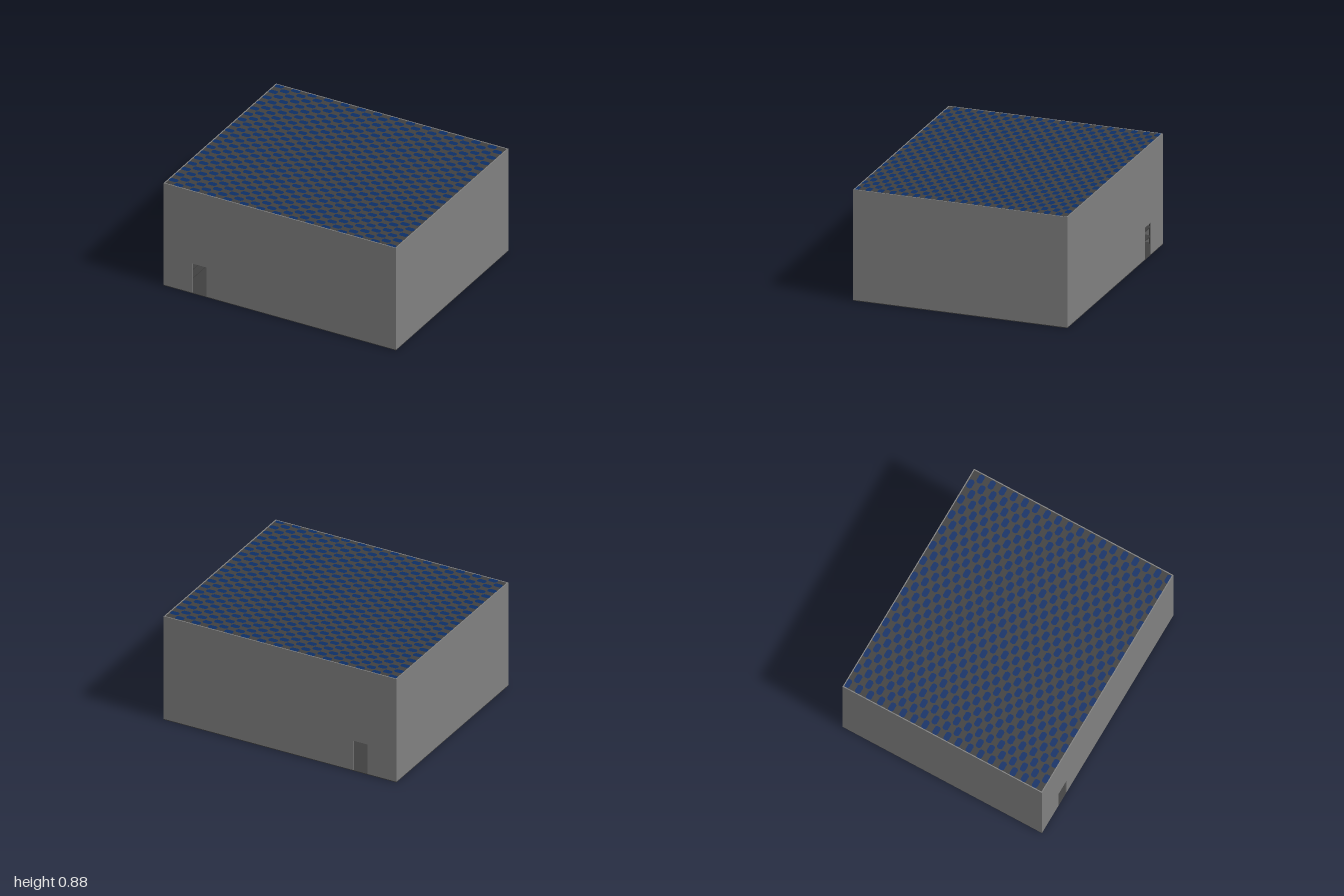
import * as THREE from 'three';
import { mergeGeometries } from 'three/addons/utils/BufferGeometryUtils.js';

const mat = (name, color) => {
  const m = new THREE.MeshStandardMaterial({ color });
  m.name = name;
  return m;
};

export function createModel() {
  const group = new THREE.Group();
  group.name = 'hall';
  const wallGrey = mat('wallGrey', 0x808080);
  const darkGrey = mat('darkGrey', 0x404040);
  const tileBlue = mat('tileBlue', 0x0d2f66);

  const W = 1, D = 0.86, H = 0.885, T = 0.008, BASE = 0.006;

  const add = (name, geometry, material, parent = group) => {
    const mesh = new THREE.Mesh(geometry, material);
    mesh.name = name;
    parent.add(mesh);
    return mesh;
  };
  const box = (name, size, pos, material, parent) =>
    add(name, new THREE.BoxGeometry(...size), material, parent).position.set(...pos);

  // Front and back walls, each with a doorway at the same x
  const outline = new THREE.Shape([
    [-W, BASE], [-0.75, BASE], [-0.75, 0.258], [-0.63, 0.258],
    [-0.63, BASE], [W, BASE], [W, H], [-W, H],
  ].map(([x, y]) => new THREE.Vector2(x, y)));
  for (const [name, z] of [['frontWall', D - T], ['backWall', -D]]) {
    const geo = new THREE.ExtrudeGeometry(outline, { depth: T, bevelEnabled: false });
    add(name, geo, wallGrey).position.z = z;
  }

  // Side walls fit between them
  for (const [name, s] of [['leftWall', 1], ['rightWall', -1]]) {
    box(name, [T, H - BASE, 2 * (D - T)], [s * (W - T / 2), (H + BASE) / 2, 0], wallGrey);
  }

  // Floor slab and flat roof
  box('floor', [2 * W, BASE, 2 * D], [0, BASE / 2, 0], darkGrey);
  const rx = W - T, rz = D - T;
  box('roof', [2 * rx, 0.012, 2 * rz], [0, H - 0.009, 0], darkGrey);

  // Staggered blue roof tiles with cut corners, trimmed at the roof edge
  const tiles = [];
  const hw = 0.036, hd = 0.023, cut = 0.012;
  const corners = [
    [-hw + cut, -hd], [hw - cut, -hd], [hw, -hd + cut], [hw, hd - cut],
    [hw - cut, hd], [-hw + cut, hd], [-hw, hd - cut], [-hw, -hd + cut],
  ];
  for (let col = 0; col < 28; col++) {
    const cx = -0.957 + col * 0.0707;
    for (let row = 0; row < 18; row++) {
      const cz = -0.837 + row * 0.0953 + (col % 2) * 0.0476 + col * 0.0005;
      if (cz - hd > rz) continue;
      const shape = new THREE.Shape(corners.map(([x, z]) => new THREE.Vector2(
        THREE.MathUtils.clamp(cx + x, -rx, rx),
        THREE.MathUtils.clamp(-cz - z, -rz, rz))));
      tiles.push(new THREE.ShapeGeometry(shape).rotateX(-Math.PI / 2));
    }
  }
  add('roofTiles', mergeGeometries(tiles), tileBlue).position.y = H - 0.0005;

  // Shelf racks along the right wall, clear of the doorways
  for (const s of [-1, 1]) {
    const rack = new THREE.Group();
    rack.name = s > 0 ? 'frontRack' : 'backRack';
    rack.position.set(-0.89, BASE, s * 0.52);
    group.add(rack);
    for (const x of [-0.08, 0.08]) for (const z of [-0.25, 0.25]) {
      box('rackPost', [0.012, 0.3, 0.012], [x, 0.15, z], darkGrey, rack);
    }
    for (let i = 0; i < 4; i++) {
      box('rackShelf', [0.17, 0.01, 0.51], [0, 0.06 + i * 0.075, 0], darkGrey, rack);
    }
  }

  return group;
}
